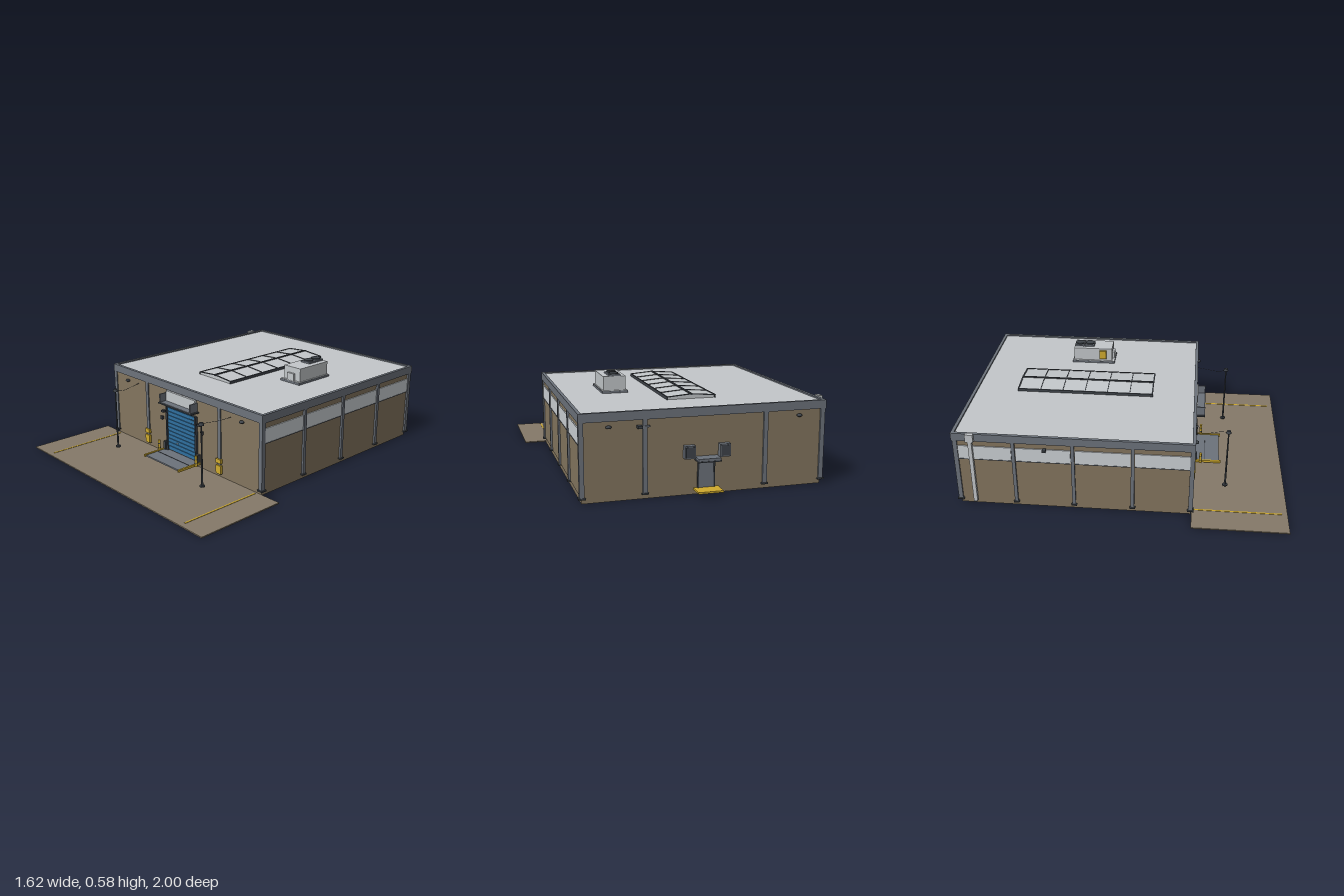
import * as THREE from 'three';

const mat = (name, color) => {
  const m = new THREE.MeshStandardMaterial({ color });
  m.name = name;
  return m;
};

export function createModel() {
  const tan = mat('tan cladding', 0x84765f);
  const paving = mat('paving', 0x857a69);
  const pale = mat('pale roofing', 0xc4c8cb);
  const glass = mat('window glass', 0xcdd2d6);
  const steel = mat('steel trim', 0x6d737c);
  const dark = mat('dark metal', 0x3f444a);
  const blue = mat('blue door', 0x2f6f9f);
  const yellow = mat('safety yellow', 0xd0ab2e);

  const root = new THREE.Group();
  root.name = 'warehouse';
  const group = (name) => {
    const g = new THREE.Group();
    g.name = name;
    root.add(g);
    return g;
  };
  const add = (g, name, geo, m, x = 0, y = 0, z = 0) => {
    const mesh = new THREE.Mesh(geo, m);
    mesh.name = name;
    mesh.position.set(x, y, z);
    g.add(mesh);
    return mesh;
  };
  // box given by its minimum and maximum on each axis
  const box = (g, name, m, x0, x1, y0, y1, z0, z1) =>
    add(g, name, new THREE.BoxGeometry(x1 - x0, y1 - y0, z1 - z0), m,
      (x0 + x1) / 2, (y0 + y1) / 2, (z0 + z1) / 2);
  const cyl = (g, name, m, r0, r1, h, x, y, z, n = 10) =>
    add(g, name, new THREE.CylinderGeometry(r0, r1, h, n), m, x, y, z);
  const rod = (g, name, m, pts, r) => add(g, name, new THREE.TubeGeometry(
    new THREE.CatmullRomCurve3(pts.map((p) => new THREE.Vector3(...p))), 12, r, 6), m);

  const zF = 0.442, zB = -0.907, zM = (zF + zB) / 2;

  // Apron with painted lane lines
  const apron = group('apron');
  box(apron, 'paving', paving, -0.81, 0.81, 0, 0.007, 0.445, 1);
  for (const s of [-1, 1])
    box(apron, 'laneLine', yellow, s * 0.64 - 0.005, s * 0.64 + 0.005, 0.007, 0.009, 0.46, 0.967);

  // Shell: foundation, walls and roof
  const shell = group('shell');
  box(shell, 'foundation', tan, -0.674, 0.674, 0, 0.03, zB, zF);
  box(shell, 'walls', tan, -0.676, 0.676, 0.03, 0.45, zB - 0.004, zF + 0.004);
  box(shell, 'roof', pale, -0.675, 0.675, 0.45, 0.47, zB, zF);
  const ring = new THREE.Shape();
  const rect = (p, w, d) => {
    p.moveTo(-w, -d); p.lineTo(w, -d); p.lineTo(w, d); p.lineTo(-w, d); p.closePath();
    return p;
  };
  rect(ring, 0.688, 0.69);
  ring.holes.push(rect(new THREE.Path(), 0.669, 0.671));
  const parapet = add(shell, 'parapet', new THREE.ExtrudeGeometry(ring,
    { depth: 0.048, bevelEnabled: false }), steel, 0, 0.43, zM - 0.004);
  parapet.rotation.x = -Math.PI / 2;

  // Steel columns with base plates
  const frame = group('columns');
  const column = (x, z, w, d) => {
    box(frame, 'column', steel, x - w / 2, x + w / 2, 0.03, 0.432, z - d / 2, z + d / 2);
    box(frame, 'basePlate', dark, x - w / 2 - 0.006, x + w / 2 + 0.006, 0.026, 0.034,
      z - d / 2 - 0.006, z + d / 2 + 0.006);
  };
  for (const s of [-1, 1]) {
    for (const z of [0.44, -0.908]) column(s * 0.673, z, 0.026, 0.026);
    for (const z of [0.105, -0.235, -0.575]) column(s * 0.679, z, 0.018, 0.02);
    for (const z of [0.444, -0.912]) column(s * 0.337, z, 0.025, 0.018);
    // Yellow guards at the front columns
    for (const [y0, y1] of [[0.03, 0.08], [0.094, 0.12]])
      box(frame, 'columnGuard', yellow, s * 0.337 - 0.02, s * 0.337 + 0.02, y0, y1, 0.44, 0.462);
  }

  // Side window bands, four bays on each side
  const windows = group('windows');
  const edges = [0.44, 0.105, -0.235, -0.575, -0.907];
  for (const s of [-1, 1])
    for (let i = 0; i < 4; i++) {
      const a = edges[i + 1] + 0.013, b = edges[i] - 0.013;
      box(windows, 'pane', glass, s * 0.679 - 0.003, s * 0.679 + 0.003, 0.31, 0.395, a, b);
      box(windows, 'sill', steel, s * 0.68 - 0.004, s * 0.68 + 0.004, 0.306, 0.31, a, b);
    }

  // Ridged skylight
  const sky = group('skylight');
  const s0 = -0.652, s1 = 0.178, gable = new THREE.Shape();
  gable.moveTo(-0.138, 0.468);
  gable.lineTo(0.138, 0.468);
  gable.lineTo(0.138, 0.484);
  gable.lineTo(0, 0.495);
  gable.lineTo(-0.138, 0.484);
  add(sky, 'glazing', new THREE.ExtrudeGeometry(gable, { depth: s1 - s0, bevelEnabled: false }),
    pale, 0, 0, s0);
  for (const s of [-1, 1])
    box(sky, 'curb', dark, s * 0.139 - 0.004, s * 0.139 + 0.004, 0.468, 0.487, s0 - 0.004, s1 + 0.004);
  box(sky, 'ridge', dark, -0.006, 0.006, 0.49, 0.5, s0 - 0.004, s1 + 0.004);
  for (let i = 0; i <= 6; i++) {
    const z = s0 + (s1 - s0) * i / 6, w = i % 6 ? 0.004 : 0.008;
    for (const s of [-1, 1]) {
      const bar = add(sky, 'glazingBar', new THREE.BoxGeometry(0.141, 0.005, w), dark, s * 0.069, 0.4905, z);
      bar.rotation.z = -s * Math.atan2(0.011, 0.138);
    }
  }

  // Rooftop air handler
  const unit = group('airHandler');
  box(unit, 'curb', steel, 0.295, 0.447, 0.468, 0.482, -0.378, -0.1);
  box(unit, 'curbTop', pale, 0.297, 0.445, 0.482, 0.485, -0.376, -0.102);
  box(unit, 'cabinet', pale, 0.308, 0.438, 0.484, 0.567, -0.368, -0.118);
  box(unit, 'duct', pale, 0.345, 0.397, 0.482, 0.53, -0.118, -0.104);
  box(unit, 'accessPanel', yellow, 0.293, 0.308, 0.5, 0.555, -0.2, -0.155);
  for (const z of [-0.335, -0.269]) {
    box(unit, 'fanHousing', steel, 0.337, 0.405, 0.567, 0.577, z - 0.031, z + 0.031);
    cyl(unit, 'fan', dark, 0.028, 0.028, 0.009, 0.371, 0.5805, z, 16);
  }

  // Roller door with slats, guides and sign canopy
  const dock = group('loadingDock');
  box(dock, 'doorBacking', dark, -0.138, 0.138, 0.035, 0.325, 0.44, 0.449);
  for (let i = 0; i < 11; i++)
    box(dock, 'doorSlat', blue, -0.13, 0.13, 0.044 + i * 0.0252, 0.0655 + i * 0.0252, 0.446, 0.454);
  box(dock, 'doorHandle', pale, -0.048, -0.034, 0.1, 0.105, 0.454, 0.457);
  box(dock, 'canopySlab', dark, -0.155, 0.155, 0.35, 0.358, 0.446, 0.507);
  box(dock, 'canopyPanel', pale, -0.135, 0.135, 0.358, 0.426, 0.446, 0.46);
  box(dock, 'canopyDeck', steel, -0.137, 0.137, 0.358, 0.361, 0.46, 0.503);
  for (const s of [-1, 1]) {
    box(dock, 'doorGuide', dark, s * 0.136 - 0.006, s * 0.136 + 0.006, 0.03, 0.325, 0.446, 0.462);
    box(dock, 'canopyCheek', steel, s * 0.14 - 0.004, s * 0.14 + 0.004, 0.358, 0.412, 0.446, 0.505);
    box(dock, 'bumper', dark, s * 0.152 - 0.01, s * 0.152 + 0.01, 0.035, 0.09, 0.446, 0.47);
    box(dock, 'rampEdge', yellow, s * 0.162 - 0.006, s * 0.162 + 0.006, 0.028, 0.042, 0.45, 0.62);
    cyl(dock, 'bollard', yellow, 0.008, 0.008, 0.07, s * 0.176, 0.065, 0.492);
    for (const y of [0.052, 0.078]) cyl(dock, 'bollardBand', dark, 0.0085, 0.0085, 0.005, s * 0.176, y, 0.492);
    box(dock, 'controlBox', dark, s * 0.188 - 0.007, s * 0.188 + 0.007, 0.225, 0.246, 0.446, 0.46);
    box(dock, 'signalLamp', dark, s * 0.169 - 0.01, s * 0.169 + 0.01, 0.278, 0.29, 0.446, 0.468);
  }
  box(dock, 'ramp', steel, -0.156, 0.156, 0.028, 0.037, 0.446, 0.61);
  box(dock, 'rampHinge', dark, -0.15, 0.15, 0.037, 0.039, 0.52, 0.523);

  // Lamp posts with cables to the wall
  const posts = group('lampPosts');
  for (const s of [-1, 1]) {
    const x = s * 0.405;
    cyl(posts, 'post', dark, 0.004, 0.006, 0.375, x, 0.2175, 0.643);
    cyl(posts, 'postBase', dark, 0.016, 0.016, 0.008, x, 0.032, 0.643);
    cyl(posts, 'lampHead', dark, 0.011, 0.016, 0.016, x, 0.404, 0.643);
    rod(posts, 'cable', dark, [[x, 0.4, 0.64], [s * 0.393, 0.395, 0.6],
      [s * 0.415, 0.394, 0.52], [s * 0.43, 0.4, 0.446]], 0.0012);
  }

  // Wall lamps, front and back
  const lamps = group('wallLamps');
  for (const s of [-1, 1])
    for (const [z, d] of [[0.446, 1], [-0.911, -1]]) {
      const lamp = add(lamps, 'wallLamp', new THREE.SphereGeometry(0.016, 12, 8), dark, s * 0.53, 0.4, z + d * 0.012);
      lamp.scale.set(1, 0.55, 0.9);
    }
  box(lamps, 'camera', dark, 0.355, 0.38, 0.385, 0.4, -0.942, -0.908);
  box(lamps, 'cameraMount', steel, 0.31, 0.355, 0.388, 0.396, -0.926, -0.908);
  box(lamps, 'sideLamp', dark, -0.702, -0.674, 0.386, 0.4, -0.405, -0.385);

  // Back entrance: door, hood, step and service cabinets
  const back = group('backEntrance');
  box(back, 'door', steel, -0.042, 0.042, 0.035, 0.19, -0.917, -0.908);
  for (const s of [-1, 1]) {
    box(back, 'doorJamb', dark, s * 0.045 - 0.004, s * 0.045 + 0.004, 0.035, 0.19, -0.92, -0.908);
    box(back, 'cabinet', steel, s * 0.098 - 0.03, s * 0.098 + 0.03, 0.205, 0.275, -0.943, -0.908);
    box(back, 'cabinetDoor', dark, s * 0.098 - 0.024, s * 0.098 + 0.024, 0.211, 0.269, -0.945, -0.943);
  }
  box(back, 'hood', steel, -0.062, 0.062, 0.196, 0.21, -0.977, -0.908);
  box(back, 'hoodEdge', dark, -0.064, 0.064, 0.19, 0.197, -0.979, -0.908);
  box(back, 'step', yellow, -0.07, 0.07, 0.027, 0.037, -1, -0.905);

  // Downpipe on the side wall
  const drain = group('downpipe');
  box(drain, 'pipe', pale, -0.706, -0.686, 0.03, 0.44, -0.826, -0.804);
  box(drain, 'hopper', pale, -0.71, -0.686, 0.435, 0.484, -0.838, -0.792);

  return root;
}
